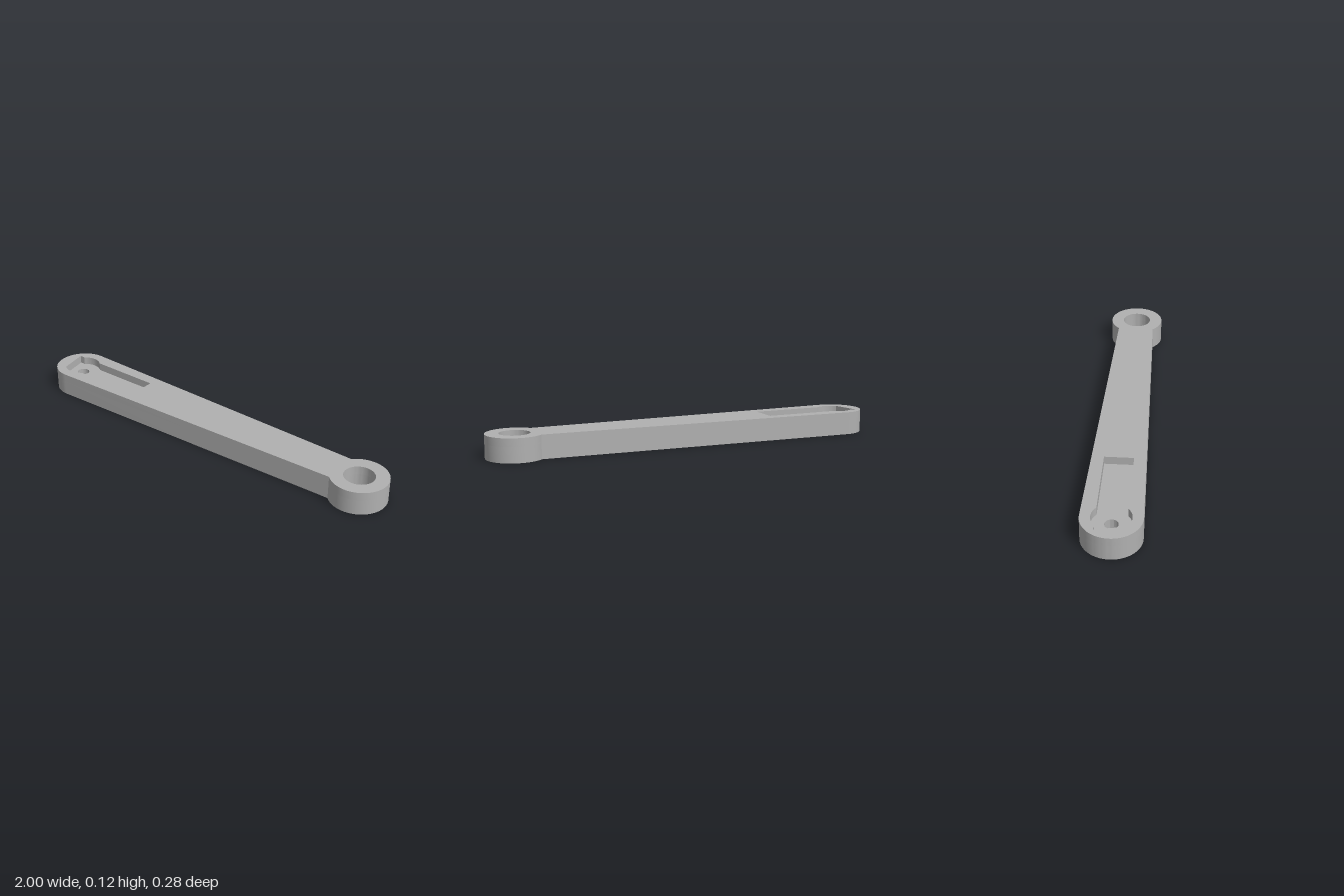
import * as THREE from 'three';
import { toCreasedNormals } from 'three/addons/utils/BufferGeometryUtils.js';

const END = 0.862;      // distance of both end centres from the middle
const RADIUS = 0.138;   // radius of both rounded ends
const HEIGHT = 0.115;
const FLOOR = 0.075;    // height of the pocket floor
const NECK = 0.094;     // half width where the arm meets the ring

// Tapered arm with a rounded end and a ring end
function outline() {
  const shape = new THREE.Shape();
  const ring = Math.PI - Math.asin(NECK / RADIUS);
  const tangent = Math.PI / 2 - 0.027;
  shape.absarc(END, 0, RADIUS, -ring, ring, false);
  shape.absarc(-END, 0, RADIUS, tangent, -tangent, false);
  shape.closePath();
  return shape;
}

function roundHole(x, radius) {
  const path = new THREE.Path();
  path.absarc(x, 0, radius, 0, Math.PI * 2, true);
  return path;
}

// Long slot that bulges around the small bore
function pocketHole() {
  const half = 0.069, bulge = 0.09;
  const b = Math.asin(half / bulge);
  const path = new THREE.Path();
  path.moveTo(-0.947, -half);
  path.absarc(-END, 0, bulge, b - Math.PI, -b, false);
  path.lineTo(-0.44, -half);
  path.lineTo(-0.44, half);
  path.absarc(-END, 0, bulge, b, Math.PI - b, false);
  path.lineTo(-0.947, half);
  path.closePath();
  return path;
}

// Horizontal slab of the outline, cut by the given holes
function layer(name, holes, bottom, top, material) {
  const shape = outline();
  shape.holes.push(...holes);
  const geometry = new THREE.ExtrudeGeometry(shape, {
    depth: top - bottom, bevelEnabled: false, curveSegments: 28,
  });
  geometry.rotateX(-Math.PI / 2);
  geometry.translate(0, bottom, 0);
  const mesh = new THREE.Mesh(toCreasedNormals(geometry, 0.5), material);
  mesh.name = name;
  return mesh;
}

export function createModel() {
  const group = new THREE.Group();
  group.name = 'leverArm';
  const grey = new THREE.MeshStandardMaterial({ color: 0xb0b0b0 });
  grey.name = 'grey';

  // Lower layer carries the pocket floor with its small bore
  group.add(layer('lowerArm', [roundHole(END, 0.073), roundHole(-END, 0.031)], 0, FLOOR, grey));
  // Upper layer is open over the pocket
  group.add(layer('upperArm', [roundHole(END, 0.073), pocketHole()], FLOOR, HEIGHT, grey));
  return group;
}
